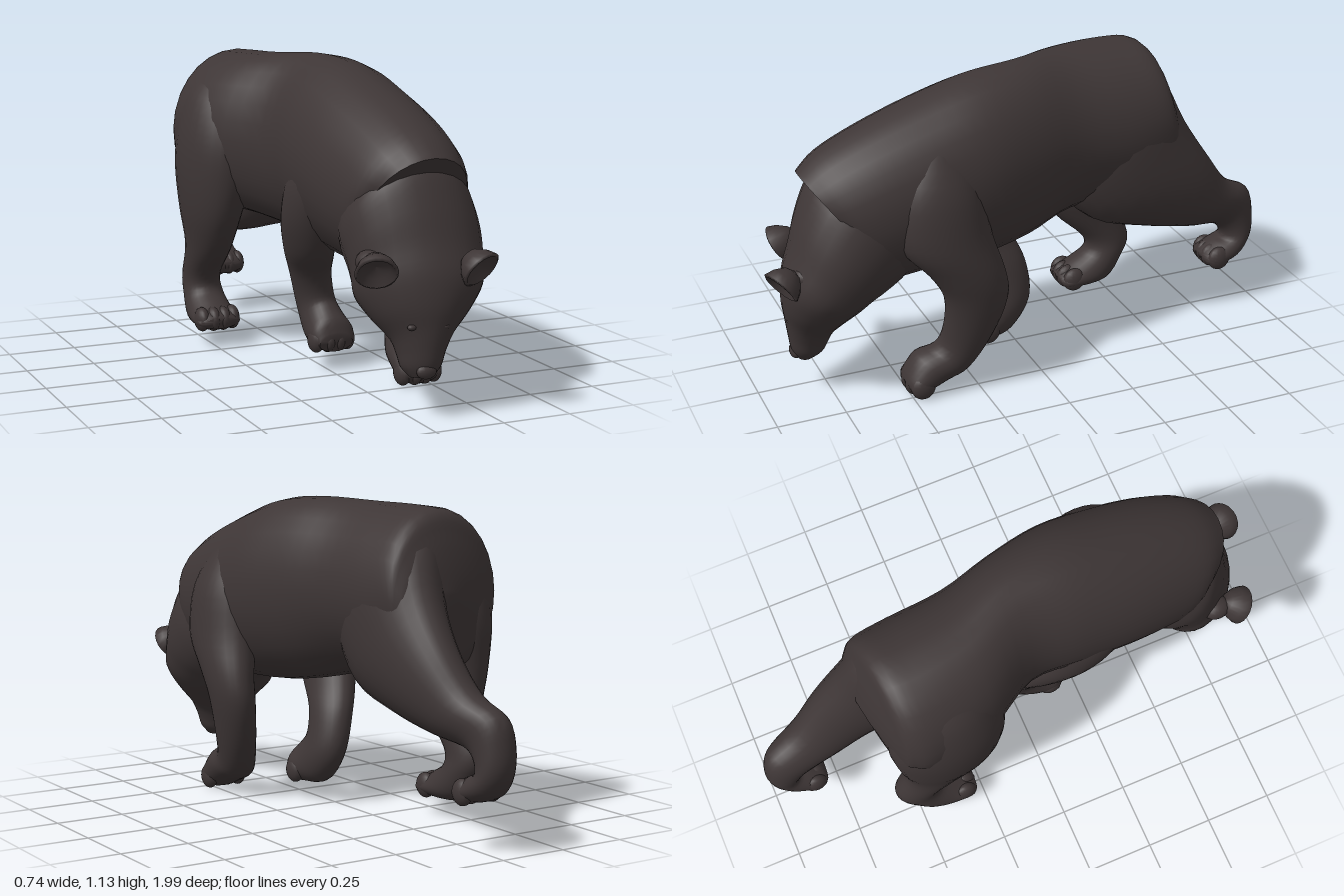
import * as THREE from 'three';
import { toCreasedNormals } from 'three/addons/utils/BufferGeometryUtils.js';

const fur = new THREE.MeshStandardMaterial({ color: 0x3e3636 });
fur.name = 'dark brown fur';

// Smooth curve through the values p1..p2
function spline(p0, p1, p2, p3, t) {
  return 0.5 * (2 * p1 + (p2 - p0) * t + (2 * p0 - 5 * p1 + 4 * p2 - p3) * t * t
    + (3 * p1 - p0 - 3 * p2 + p3) * t * t * t);
}

// Skin over elliptical sections [zA, yA, zB, yB, x, halfWidth, yaw]:
// A and B are the two ends of the section's axis in side profile.
function loft(name, sections, steps = 4, sides = 28) {
  const n = sections.length, rings = [], pos = [], idx = [];
  const at = i => sections[Math.max(0, Math.min(n - 1, i))];
  for (let i = 0; i < n - 1; i++) {
    for (let k = 0; k < steps; k++) {
      rings.push(sections[0].map((_, c) =>
        spline(at(i - 1)[c], at(i)[c], at(i + 1)[c], at(i + 2)[c], k / steps)));
    }
  }
  rings.push(sections[n - 1]);
  for (const [zA, yA, zB, yB, x, w, yaw = 0] of rings) {
    for (let j = 0; j < sides; j++) {
      const a = j / sides * Math.PI * 2, s = Math.sin(a) / 2, dx = w * Math.cos(a);
      pos.push(x + dx, (yA + yB) / 2 + (yA - yB) * s, (zA + zB) / 2 + (zA - zB) * s + yaw * dx);
    }
  }
  for (const [zA, yA, zB, yB, x] of [rings[0], rings[rings.length - 1]]) {
    pos.push(x, (yA + yB) / 2, (zA + zB) / 2);
  }
  const last = (rings.length - 1) * sides, pole = rings.length * sides;
  for (let j = 0; j < sides; j++) {
    const k = (j + 1) % sides;
    for (let r = 0; r < last; r += sides) {
      idx.push(r + j, r + k, r + sides + k, r + j, r + sides + k, r + sides + j);
    }
    idx.push(pole, k, j, pole + 1, last + j, last + k);
  }
  const g = new THREE.BufferGeometry();
  g.setAttribute('position', new THREE.Float32BufferAttribute(pos, 3));
  g.setIndex(idx);
  const mesh = new THREE.Mesh(toCreasedNormals(g, 0.9), fur);
  mesh.name = name;
  return mesh;
}

function blob(name, x, y, z, sx, sy, sz) {
  const mesh = new THREE.Mesh(new THREE.SphereGeometry(1, 16, 12), fur);
  mesh.name = name;
  mesh.position.set(x, y, z);
  mesh.scale.set(sx, sy, sz);
  return mesh;
}

// Leg with four shallow toes across the front of the paw
function leg(name, sections, [x, y, z]) {
  const g = new THREE.Group();
  g.name = name;
  g.add(loft(name + 'Limb', sections));
  for (let i = 0; i < 4; i++) {
    const o = i - 1.5;
    g.add(blob('toe', x + o * 0.04, y, z - Math.abs(o) * 0.01, 0.028, 0.046, 0.045));
  }
  return g;
}

// Cupped round ear opening forwards and down, on a furry base
function ear(name, x, y, z, turn, base) {
  const g = new THREE.Group();
  g.name = name;
  const profile = [[0, -0.06], [0.035, -0.048], [0.06, -0.016], [0.072, 0.014],
    [0.062, 0.02], [0.046, -0.004], [0, -0.015]].map(p => new THREE.Vector2(...p));
  const cup = new THREE.Mesh(new THREE.LatheGeometry(profile, 20), fur);
  cup.name = name + 'Cup';
  cup.position.set(x, y, z);
  cup.rotation.set(2.2, 0, turn);
  g.add(cup, blob(name + 'Base', ...base));
  return g;
}

export function createModel() {
  const bear = new THREE.Group();
  bear.name = 'walkingBear';

  // Trunk, from the sloping rump to the ruff that overhangs the neck
  bear.add(loft('body', [
    [-0.61, 0.83, -0.59, 0.67, -0.06, 0.07, -0.15],
    [-0.59, 0.93, -0.585, 0.61, -0.07, 0.17, -0.15],
    [-0.56, 1.03, -0.565, 0.57, -0.08, 0.22, -0.12],
    [-0.52, 1.11, -0.54, 0.55, -0.085, 0.247, -0.08],
    [-0.4, 1.125, -0.45, 0.52, -0.085, 0.268, 0],
    [-0.2, 1.13, -0.2, 0.52, -0.05, 0.25, 0],
    [0, 1.14, 0, 0.48, 0.035, 0.22, 0],
    [0.2, 1.125, 0.2, 0.45, 0.06, 0.243, 0],
    [0.4, 1.07, 0.4, 0.44, 0.065, 0.247, 0],
    [0.6, 1.0, 0.53, 0.43, 0.07, 0.235, 0],
    [0.75, 0.93, 0.57, 0.44, 0.07, 0.215, 0],
    [0.83, 0.865, 0.56, 0.52, 0.075, 0.18, 0],
  ]));

  // Lowered neck and head, turned slightly aside and tapering to the muzzle
  bear.add(loft('neckAndHead', [
    [0.73, 0.87, 0.43, 0.48, 0.07, 0.215, 0],
    [0.79, 0.815, 0.49, 0.43, 0.07, 0.232, 0],
    [0.84, 0.71, 0.54, 0.4, 0.073, 0.23, 0.05],
    [0.875, 0.6, 0.57, 0.38, 0.07, 0.22, 0.12],
    [0.905, 0.5, 0.61, 0.34, 0.06, 0.205, 0.2],
    [0.91, 0.4, 0.67, 0.29, 0.05, 0.155, 0.2],
    [0.9, 0.32, 0.72, 0.24, 0.045, 0.1, 0.2],
    [0.89, 0.25, 0.74, 0.2, 0.04, 0.076, 0.2],
    [0.88, 0.19, 0.76, 0.165, 0.037, 0.062, 0.2],
    [0.86, 0.15, 0.8, 0.14, 0.035, 0.035, 0.2],
  ]));
  bear.add(blob('nose', 0.035, 0.172, 0.865, 0.036, 0.026, 0.02));
  for (const s of [-1, 1]) {
    bear.add(blob('eye', 0.033 + s * 0.055, 0.325, 0.88 + s * 0.012, 0.016, 0.01, 0.012));
  }
  bear.add(ear('leftEar', 0.185, 0.52, 0.93, -0.3, [0.172, 0.53, 0.855, 0.045, 0.035, 0.04]));
  bear.add(ear('rightEar', -0.14, 0.52, 0.845, 0.3, [-0.125, 0.53, 0.765, 0.045, 0.04, 0.055]));

  bear.add(leg('leftFrontLeg', [
    [0.46, 0.95, 0.28, 0.95, 0.2, 0.06],
    [0.54, 0.8, 0.23, 0.8, 0.235, 0.105],
    [0.54, 0.62, 0.2, 0.62, 0.26, 0.108],
    [0.44, 0.5, 0.16, 0.48, 0.285, 0.085],
    [0.385, 0.4, 0.15, 0.37, 0.282, 0.075],
    [0.38, 0.27, 0.2, 0.22, 0.255, 0.072],
    [0.4, 0.19, 0.28, 0.09, 0.225, 0.075],
    [0.47, 0.16, 0.36, 0.05, 0.212, 0.086],
    [0.51, 0.1, 0.46, 0.012, 0.21, 0.082],
    [0.52, 0.07, 0.5, 0.02, 0.21, 0.055],
  ], [0.21, 0.055, 0.482]));

  bear.add(leg('rightFrontLeg', [
    [0.42, 0.9, 0.2, 0.9, -0.03, 0.07],
    [0.42, 0.75, 0.12, 0.75, -0.08, 0.095],
    [0.36, 0.6, 0.06, 0.58, -0.09, 0.09],
    [0.27, 0.45, 0, 0.45, -0.06, 0.08],
    [0.165, 0.36, -0.045, 0.34, -0.02, 0.07],
    [0.13, 0.27, -0.05, 0.2, 0.01, 0.066],
    [0.15, 0.23, 0.03, 0.09, 0.02, 0.075],
    [0.185, 0.19, 0.12, 0.07, 0.025, 0.083],
    [0.2, 0.14, 0.18, 0.075, 0.025, 0.065],
  ], [0.025, 0.115, 0.158]));

  bear.add(leg('rightHindLeg', [
    [-0.25, 1.05, -0.44, 1.07, -0.15, 0.08],
    [-0.18, 0.95, -0.51, 1.0, -0.185, 0.13],
    [-0.14, 0.82, -0.55, 0.87, -0.215, 0.142],
    [-0.14, 0.68, -0.57, 0.72, -0.23, 0.138],
    [-0.18, 0.52, -0.55, 0.55, -0.245, 0.107],
    [-0.27, 0.38, -0.53, 0.39, -0.242, 0.08],
    [-0.385, 0.27, -0.58, 0.25, -0.24, 0.07],
    [-0.4, 0.21, -0.55, 0.17, -0.237, 0.075],
    [-0.34, 0.17, -0.48, 0.08, -0.237, 0.085],
    [-0.29, 0.14, -0.33, 0.07, -0.237, 0.087],
    [-0.275, 0.125, -0.285, 0.08, -0.237, 0.065],
  ], [-0.237, 0.113, -0.312]));

  // Hind leg stretched back at the end of its stride
  bear.add(leg('leftHindLeg', [
    [-0.1, 0.82, -0.43, 1.07, -0.02, 0.12],
    [-0.14, 0.65, -0.56, 1.02, 0.005, 0.168],
    [-0.28, 0.49, -0.655, 0.83, 0.04, 0.142],
    [-0.5, 0.42, -0.76, 0.67, 0.045, 0.113],
    [-0.68, 0.375, -0.86, 0.54, 0.022, 0.094],
    [-0.81, 0.35, -0.97, 0.475, -0.005, 0.078],
    [-0.86, 0.32, -1.0, 0.38, -0.012, 0.072],
    [-0.875, 0.28, -0.995, 0.28, -0.01, 0.07],
    [-0.84, 0.265, -0.94, 0.2, -0.01, 0.08],
    [-0.8, 0.24, -0.84, 0.17, -0.012, 0.085],
    [-0.785, 0.22, -0.8, 0.175, -0.012, 0.06],
  ], [-0.012, 0.21, -0.825]));

  return bear;
}
